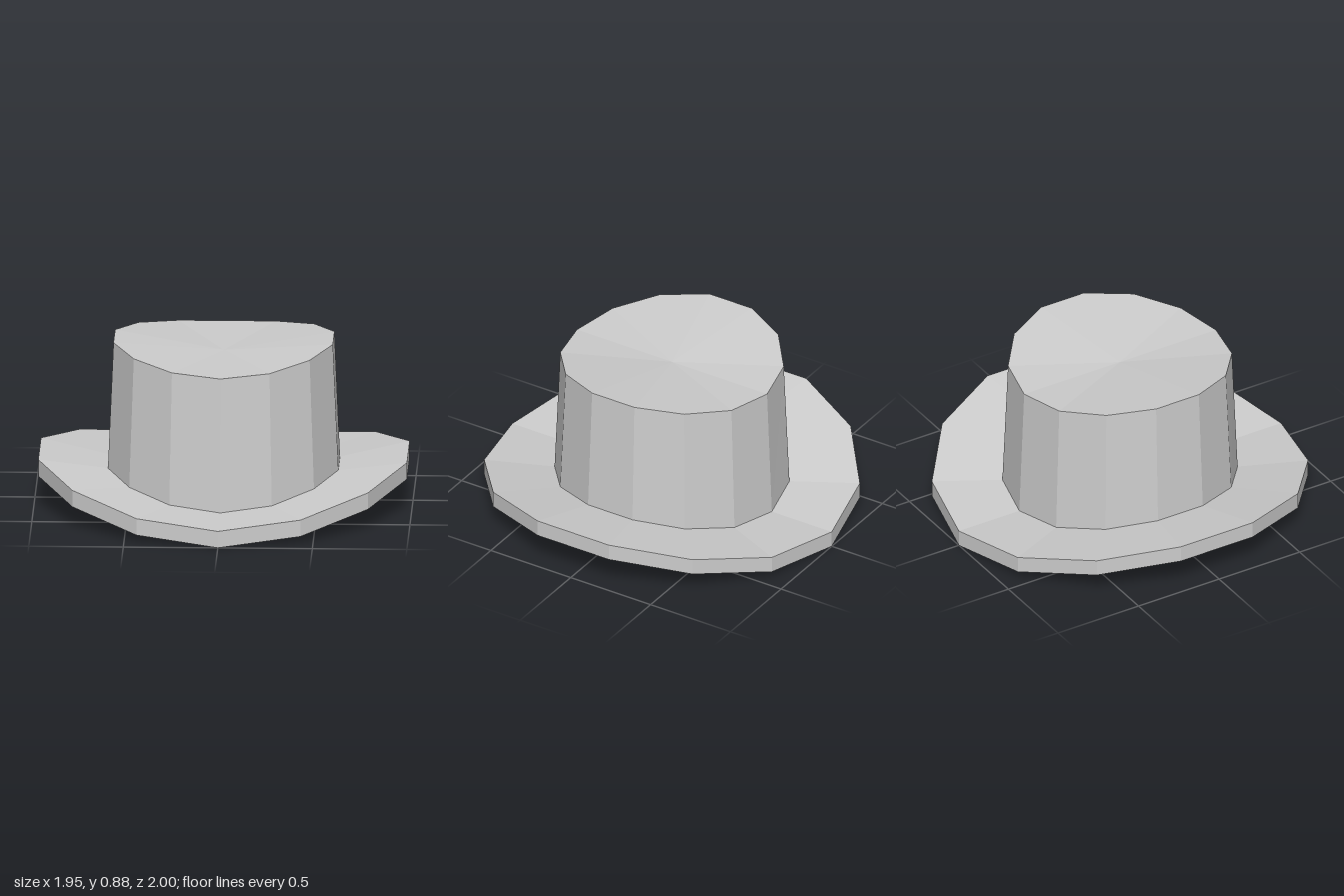
import * as THREE from 'three';

const SIDES = 14;

// sideways curl: height grows toward the left and right edges
const curl = (x) => 0.175 * Math.pow(Math.abs(x) / 0.975, 1.85);

// one closed loop of points; rise(unitX) gives the height at each corner
function loop(radius, height, rise) {
  return Array.from({ length: SIDES }, (_, i) => {
    const a = (i / SIDES) * Math.PI * 2;
    const s = Math.sin(a);
    return [radius * s, height + rise(s), radius * Math.cos(a)];
  });
}

// faceted drum: walls between two loops, fan on top, optional fan below
function drum(bottom, top, topY, bottomY = null) {
  const pos = [];
  const tri = (...corners) => corners.forEach((c) => pos.push(...c));
  for (let i = 0; i < SIDES; i++) {
    const j = (i + 1) % SIDES;
    tri(bottom[i], bottom[j], top[j]);
    tri(bottom[i], top[j], top[i]);
    tri([0, topY, 0], top[i], top[j]);
    if (bottomY !== null) tri([0, bottomY, 0], bottom[j], bottom[i]);
  }
  const geo = new THREE.BufferGeometry();
  geo.setAttribute('position', new THREE.Float32BufferAttribute(pos, 3));
  geo.computeVertexNormals();
  return geo;
}

export function createModel() {
  const hat = new THREE.Group();
  hat.name = 'hat';
  const felt = new THREE.MeshStandardMaterial({ color: 0xcccccc, flatShading: true });
  felt.name = 'light grey felt';

  // brim with upturned sides
  const brim = new THREE.Mesh(
    drum(loop(1, 0, curl), loop(1, 0.09, curl), 0.09, 0), felt);
  brim.name = 'brim';

  // tapered crown: its foot follows the brim, its top dips along the middle
  const crownRadius = 0.625, topRadius = 0.595;
  const crown = new THREE.Mesh(
    drum(
      loop(crownRadius, 0.09, (s) => crownRadius * curl(s)),
      loop(topRadius, 0.815, (s) => 0.4 * curl(s)),
      0.815),
    felt);
  crown.name = 'crown';

  hat.add(brim, crown);
  return hat;
}
